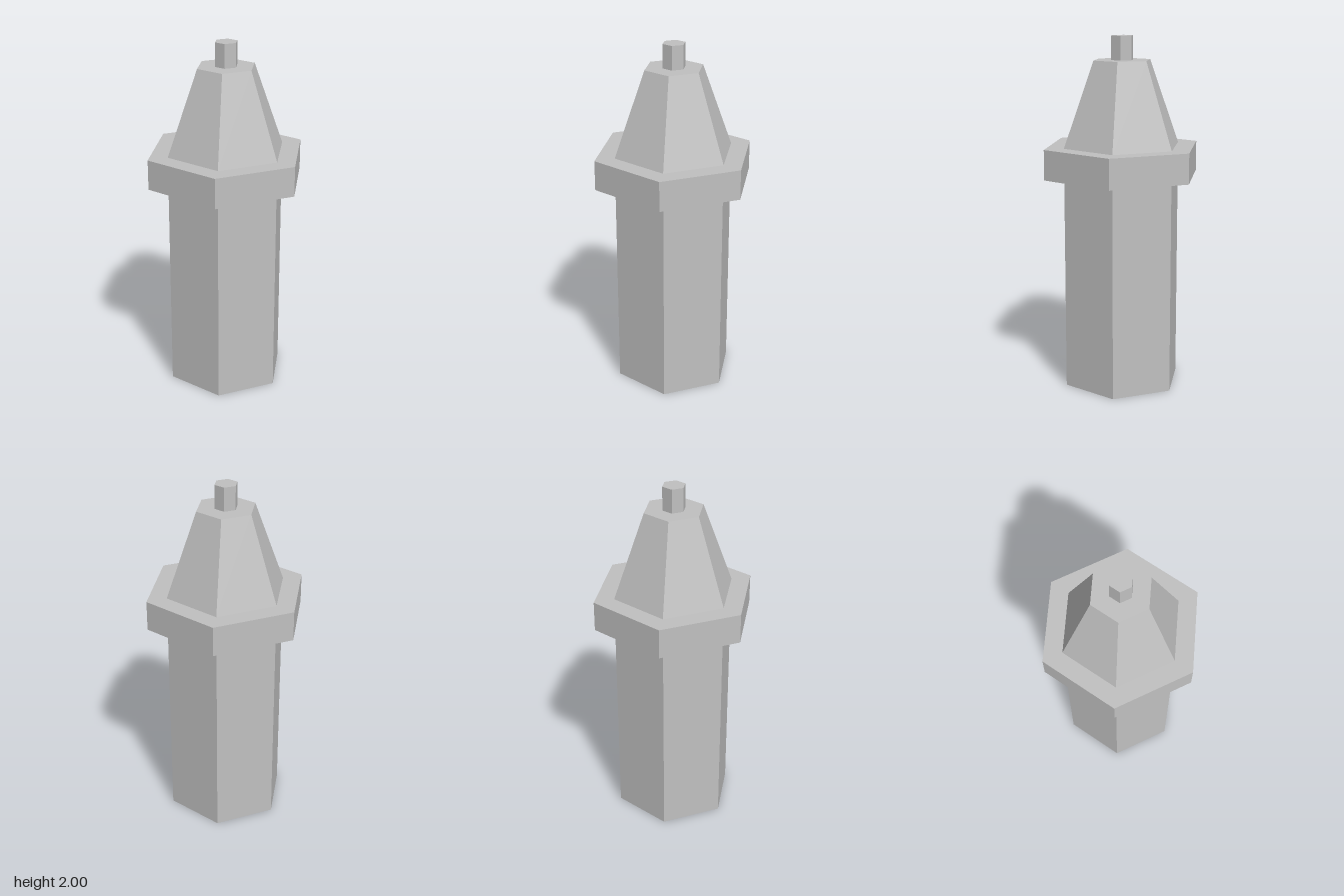
import * as THREE from 'three';

export function createModel() {
  const model = new THREE.Group();
  model.name = 'hexagonalPost';

  const grey = new THREE.MeshStandardMaterial({ color: 0xc0c0c0 });
  grey.name = 'grey';
  grey.flatShading = true;

  // Hexagonal section between two heights, corners pointing along x
  function addHex(name, bottomRadius, topRadius, y0, y1) {
    const geometry = new THREE.CylinderGeometry(topRadius, bottomRadius, y1 - y0, 6, 1, false, Math.PI / 6);
    const mesh = new THREE.Mesh(geometry, grey);
    mesh.name = name;
    mesh.position.y = (y0 + y1) / 2;
    model.add(mesh);
  }

  addHex('shaft', 0.346, 0.346, 0, 1.217);
  addHex('collar', 0.462, 0.462, 1.217, 1.387);
  addHex('taperedCap', 0.346, 0.169, 1.387, 1.866);
  addHex('tip', 0.065, 0.065, 1.866, 2);

  return model;
}
